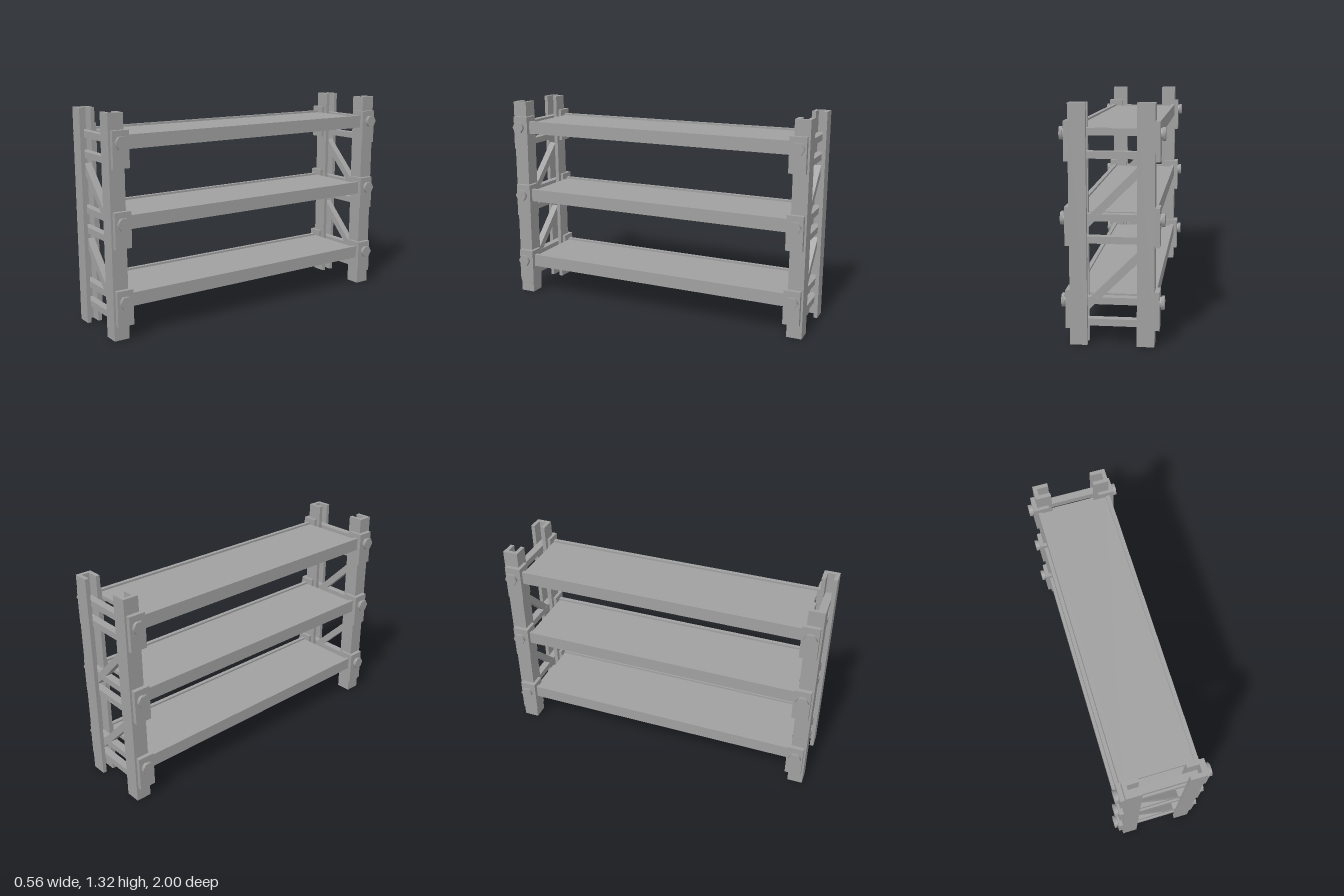
import * as THREE from 'three';

const POST_H = 1.315;
const LEVELS = [0.235, 0.694, 1.152]; // bolt heights, one per shelf

export function createModel() {
  const root = new THREE.Group();
  root.name = 'shelvingRack';
  const steel = new THREE.MeshStandardMaterial({ color: 0xa0a0a0 });
  steel.name = 'grey steel';

  const add = (name, geometry, x, y, z) => {
    const mesh = new THREE.Mesh(geometry, steel);
    mesh.name = name;
    mesh.position.set(x, y, z);
    root.add(mesh);
    return mesh;
  };
  // box given by its limits on each axis
  const span = (name, [x0, x1], [y0, y1], [z0, z1]) =>
    add(name, new THREE.BoxGeometry(Math.abs(x1 - x0), y1 - y0, Math.abs(z1 - z0)),
      (x0 + x1) / 2, (y0 + y1) / 2, (z0 + z1) / 2);

  // C-channel post, web on +x, open towards -x
  const h = 0.0475, t = 0.0245;
  const channel = new THREE.Shape([
    [-h, -h], [h, -h], [h, h], [-h, h],
    [-h, h - t], [h - t, h - t], [h - t, -h + t], [-h, -h + t],
  ].map(([x, y]) => new THREE.Vector2(x, y)));
  const postGeo = new THREE.ExtrudeGeometry(channel, { depth: POST_H, bevelEnabled: false });
  postGeo.rotateX(-Math.PI / 2);

  const washerGeo = new THREE.CylinderGeometry(0.031, 0.031, 0.012, 24).rotateZ(Math.PI / 2);
  const boltGeo = new THREE.CylinderGeometry(0.04, 0.04, 0.018, 6).rotateZ(Math.PI / 2);

  for (const sz of [1, -1]) {
    const end = sz > 0 ? 'front' : 'back';

    for (const sx of [1, -1]) {
      const side = end + (sx > 0 ? 'Left' : 'Right');
      const post = add(side + 'Post', postGeo, sx * 0.1825, 0, sz * 0.9525);
      if (sx < 0) post.rotation.y = Math.PI;

      // angle bracket and hexagonal bolt at each shelf
      for (const y of LEVELS) {
        const rise = [y - 0.146, y + 0.068];
        span(side + 'BracketPlate', [sx * 0.23, sx * 0.256], rise, [sz * 0.885, sz * 0.988]);
        span(side + 'BracketLeg', [sx * 0.16, sx * 0.23], rise, [sz * 0.885, sz * 0.905]);
        add(side + 'BoltCollar', washerGeo, sx * 0.261, y, sz * 0.941);
        // a hexagon corner points along z
        add(side + 'BoltHead', boltGeo, sx * 0.273, y, sz * 0.941);
      }
    }

    // paired rungs of the ladder frame
    for (const y of LEVELS) {
      for (const dy of [0.01, -0.112]) {
        span(end + 'Rung', [-0.205, 0.205], [y + dy - 0.0195, y + dy + 0.0195],
          [sz * 0.93, sz * 0.976]);
      }
    }

    // diagonal braces, high on the -x side
    for (const y of [0.352, 0.81]) {
      const brace = add(end + 'Brace', new THREE.BoxGeometry(0.46, 0.043, 0.044), 0, y, sz * 0.953);
      brace.rotation.z = -Math.PI / 4;
    }
  }

  // shelves: thin panel set just below the tops of two side beams
  for (const y of LEVELS) {
    for (const sx of [1, -1]) {
      span('shelfBeam', [sx * 0.206, sx * 0.231], [y - 0.043, y + 0.038], [-0.885, 0.885]);
    }
    span('shelfPanel', [-0.206, 0.206], [y + 0.003, y + 0.026], [-0.885, 0.885]);
  }

  return root;
}
